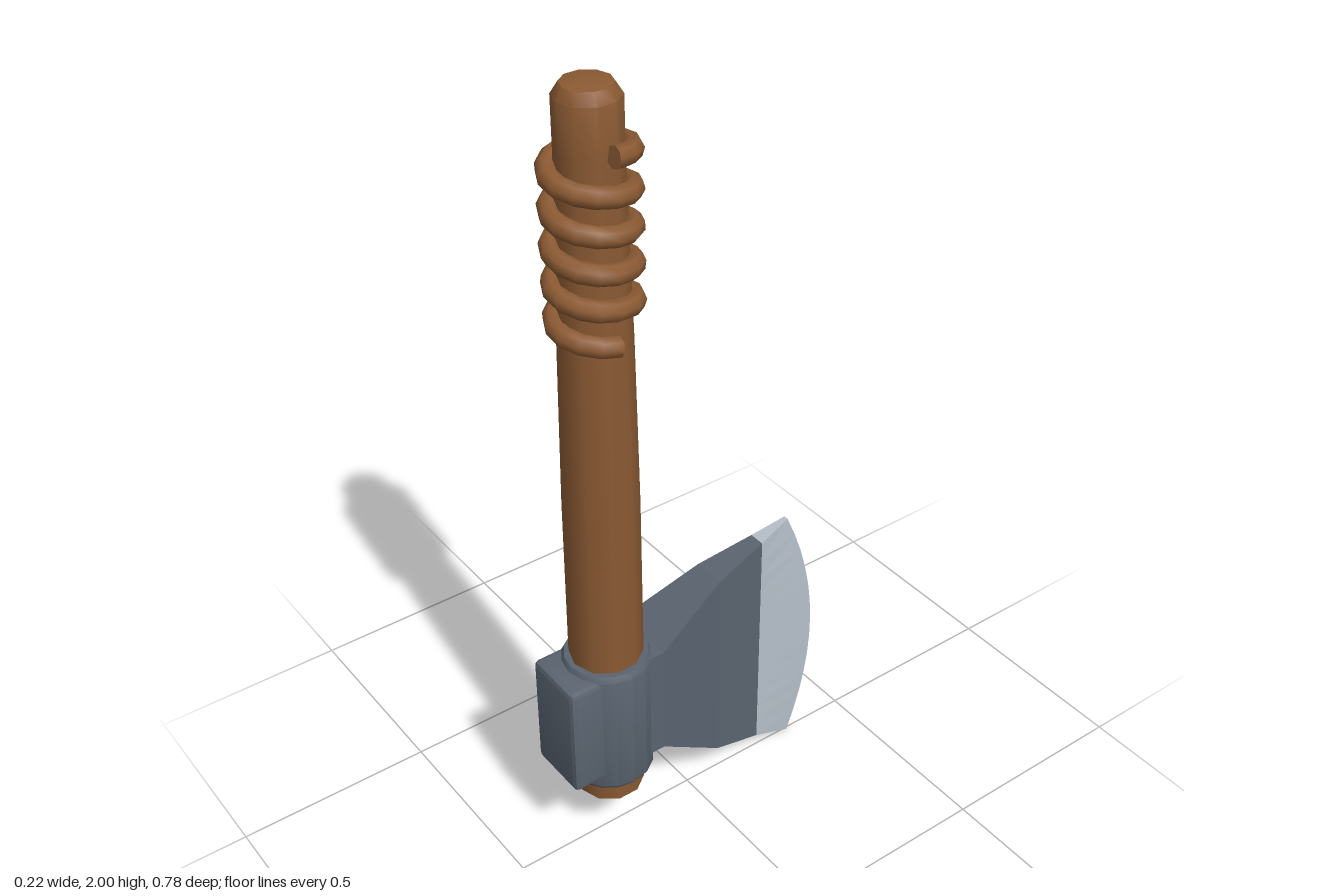
import * as THREE from 'three';
import { toCreasedNormals } from 'three/addons/utils/BufferGeometryUtils.js';
import { RoundedBoxGeometry } from 'three/addons/geometries/RoundedBoxGeometry.js';

const AXIS_Z = 0.236; // handle axis

// Loft between sections; each section gives a [y, z] for t in 0..1 and a half width.
function loft(sections, rows, capStart, capEnd) {
  const pos = [];
  const point = (s, t, side) => {
    const [y, z] = s.at(t);
    return [side * s.half, y, z];
  };
  const quad = (a, b, c, d) => pos.push(...a, ...b, ...c, ...a, ...c, ...d);
  for (let i = 0; i < sections.length - 1; i++) {
    const a = sections[i], b = sections[i + 1];
    for (let r = 0; r < rows; r++) {
      const t = r / rows, u = (r + 1) / rows;
      quad(point(a, t, 1), point(b, t, 1), point(b, u, 1), point(a, u, 1));
      quad(point(a, t, -1), point(a, u, -1), point(b, u, -1), point(b, t, -1));
    }
    quad(point(a, 1, 1), point(b, 1, 1), point(b, 1, -1), point(a, 1, -1));
    quad(point(a, 0, 1), point(a, 0, -1), point(b, 0, -1), point(b, 0, 1));
  }
  for (let r = 0; r < rows; r++) {
    const t = r / rows, u = (r + 1) / rows;
    const a = sections[0], b = sections[sections.length - 1];
    if (capStart) quad(point(a, t, -1), point(a, t, 1), point(a, u, 1), point(a, u, -1));
    if (capEnd) quad(point(b, t, 1), point(b, t, -1), point(b, u, -1), point(b, u, 1));
  }
  const geo = new THREE.BufferGeometry();
  geo.setAttribute('position', new THREE.Float32BufferAttribute(pos, 3));
  geo.computeVertexNormals();
  return geo;
}

// Straight vertical section at depth z.
const straight = (z, low, high, half) => ({ half, at: (t) => [low + (high - low) * t, z] });

// Rising coil that starts and ends on the +x side.
class Coil extends THREE.Curve {
  getPoint(t, target = new THREE.Vector3()) {
    const a = t * 5 * Math.PI * 2;
    return target.set(0.085 * Math.cos(a), 1.445 + 0.42 * t, 0.085 * Math.sin(a));
  }
}

function lathe(profile, sides, crease) {
  const points = profile.map(([r, y]) => new THREE.Vector2(r, y));
  return toCreasedNormals(new THREE.LatheGeometry(points, sides), crease);
}

export function createModel() {
  const model = new THREE.Group();
  model.name = 'axe';
  const wood = new THREE.MeshStandardMaterial({ color: 0x8b5a33 });
  wood.name = 'wood';
  const steel = new THREE.MeshStandardMaterial({ color: 0x5a6470 });
  steel.name = 'steel';
  const sharpened = new THREE.MeshStandardMaterial({ color: 0xb6c0ca });
  sharpened.name = 'sharpenedSteel';

  const add = (name, geometry, material, z = 0, y = 0) => {
    const mesh = new THREE.Mesh(geometry, material);
    mesh.name = name;
    mesh.position.set(0, y, z);
    model.add(mesh);
    return mesh;
  };

  // Tapered handle with a domed end
  add('handle', lathe([
    [0, 0.16], [0.083, 0.16], [0.088, 0.5], [0.087, 1.0], [0.081, 1.42],
    [0.071, 1.85], [0.071, 1.965], [0.055, 1.99], [0, 2.0],
  ], 10, 0.7), wood, AXIS_Z);

  // Cord wound round the grip, with closed ends
  const coil = new Coil();
  add('gripCord', new THREE.TubeGeometry(coil, 70, 0.024, 8, false), wood, AXIS_Z);
  for (const t of [0, 1]) {
    const end = add('cordEnd', new THREE.CircleGeometry(0.024, 8), wood);
    const dir = coil.getTangent(t).multiplyScalar(t ? 1 : -1);
    end.position.copy(coil.getPoint(t));
    end.position.z += AXIS_Z;
    end.quaternion.setFromUnitVectors(new THREE.Vector3(0, 0, 1), dir);
  }

  // Socket round the handle
  add('socket', lathe([
    [0.08, 0.217], [0.1, 0.217], [0.108, 0.23], [0.108, 0.557], [0.1, 0.572], [0.08, 0.572],
  ], 16, 0.55), steel, AXIS_Z);

  // Blunt block on the front of the socket
  add('poll', toCreasedNormals(new RoundedBoxGeometry(0.164, 0.305, 0.15, 1, 0.013), 0.4),
    steel, 0.312, 0.4075);

  // Flaring blade and its curved cutting edge
  const shoulder = straight(-0.21, 0.055, 0.69, 0.021);
  const edge = {
    half: 0.006,
    at: (t) => [0.715 * t, -0.325 + 0.025 * t - 0.077 * 4 * t * (1 - t)],
  };
  add('blade', loft([
    straight(0.17, 0.26, 0.562, 0.082),
    straight(0.13, 0.26, 0.562, 0.082),
    straight(-0.065, 0.11, 0.655, 0.043),
    shoulder,
  ], 1, true, false), steel);
  add('cuttingEdge', loft([shoulder, edge], 12, false, true), sharpened);

  return model;
}
